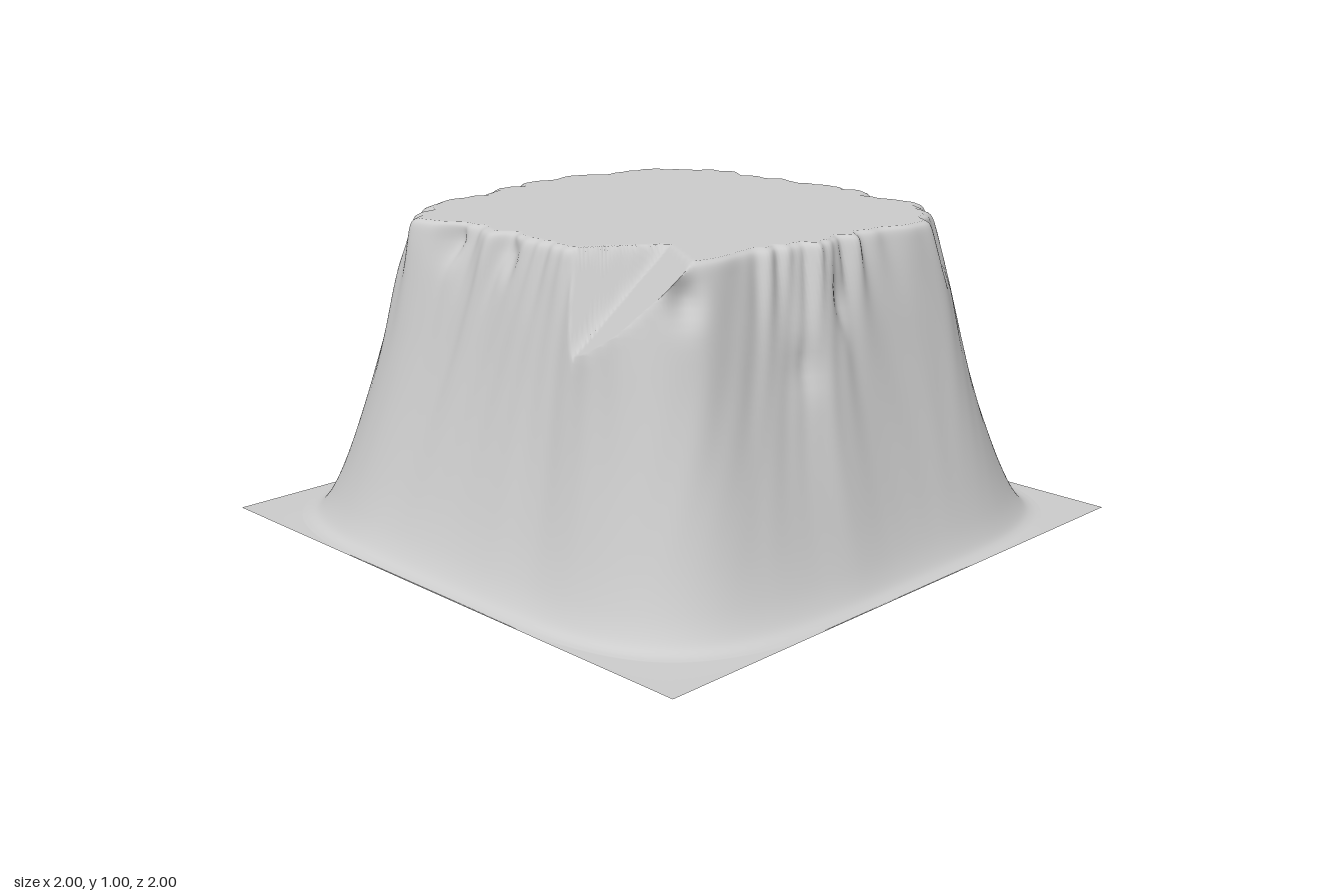
import * as THREE from 'three';

// Rim radius of the plateau every 10 degrees, from +x towards +z
const RIM = [
  0.65, 0.67, 0.68, 0.69, 0.76, 0.78, 0.80, 0.735, 0.68, 0.67, 0.69, 0.67,
  0.73, 0.83, 0.84, 0.79, 0.68, 0.65, 0.63, 0.64, 0.67, 0.77, 0.78, 0.75,
  0.69, 0.645, 0.67, 0.67, 0.69, 0.70, 0.72, 0.77, 0.77, 0.74, 0.68, 0.65];

// Cliff profile: [height, how far out from rim (0) to foot (1)]
const PROFILE = [[1, 0], [0.985, 0.07], [0.94, 0.12], [0.8, 0.23], [0.6, 0.37], [0.4, 0.53],
  [0.2, 0.72], [0.1, 0.84], [0.05, 0.92], [0.02, 0.99], [0.006, 1.06], [0, 1.14]];

// Weathered hollows: [degrees, height, angular width, height spread, depth]
const GOUGES = [
  [94, 0.82, 2, 0.08, 0.025], [106, 0.66, 4, 0.06, 0.015], [57, 0.92, 3, 0.08, 0.04],
  [27, 0.96, 3, 0.05, 0.04], [336, 0.95, 3, 0.06, 0.03], [2, 0.93, 2.5, 0.07, 0.03],
  [133, 0.9, 3, 0.06, 0.04], [180, 0.95, 3, 0.06, 0.03], [201, 0.95, 3, 0.06, 0.04],
  [221, 0.94, 3, 0.08, 0.05], [264, 0.96, 2.5, 0.06, 0.04], [241, 0.9, 3, 0.1, 0.03],
  [318, 0.7, 5, 0.25, 0.03], [45, 0.65, 4, 0.25, 0.03], [300, 0.8, 4, 0.15, 0.025]];

// Periodic smooth interpolation of the rim table
function rimRadius(deg) {
  const n = RIM.length, u = deg / 10, i = Math.floor(u), t = u - i;
  const [a, b, c, d] = [-1, 0, 1, 2].map(k => RIM[(i + k + n) % n]);
  return b + 0.5 * t * (c - a + t * (2 * a - 5 * b + 4 * c - d + t * (3 * (b - c) + d - a)));
}

// Rounded-square foot of the cliff
function footRadius(a) {
  return 0.965 / (Math.abs(Math.cos(a)) ** 4.2 + Math.abs(Math.sin(a)) ** 4.2) ** (1 / 4.2);
}

// Irregular vertical flutes, strongest at the rim and fading downwards
function flutes(a, y) {
  const w = a + 0.05 * Math.sin(4 * y + 5 * a);
  const strength = 0.6 * y * y + 0.6 * THREE.MathUtils.smoothstep(y, 0.75, 1);
  return strength * (0.008 * Math.sin(19 * w + 2 * Math.sin(4 * a))
    + 0.006 * Math.sin(37 * w + 3 * Math.sin(3 * a + 1))
    + 0.004 * Math.sin(61 * w + 2 * Math.sin(7 * a) + 9 * y));
}

function gougeDepth(deg, y) {
  let sum = 0;
  for (const [g, h, w, spread, depth] of GOUGES) {
    const da = ((deg - g + 540) % 360 - 180) / w, dy = (y - h) / spread;
    sum += depth * Math.exp(-da * da - dy * dy);
  }
  return sum;
}

// Height of the gully and its sloping ledge in the front corner at -x
function gullyHeight(x, z) {
  const dx = x + 0.43, dz = z - 0.42, c = -0.97, s = -0.22;
  const along = dx * c + dz * s;
  const across = dz * -c + dx * s;
  return 1 - 0.9 * along + (across > 0 ? 0.3 : 2.4) * Math.abs(across);
}

// Finely spaced rows along the cliff profile
function cliffRows() {
  const curve = new THREE.CatmullRomCurve3(
    PROFILE.map(([y, f]) => new THREE.Vector3(f, y, 0)), false, 'centripetal');
  return curve.getPoints(66).map(p => [Math.max(0, Math.min(1, p.y)), p.x]);
}

function terrainGeometry() {
  const N = 480;
  const top = [0];
  for (let k = 0; k < 40; k++) top.push(0.5 + k * 0.0125);
  const cliff = cliffRows();
  const rows = top.length + cliff.length + 1;
  const pos = [], index = [];
  for (let r = 0; r < rows; r++) {
    for (let i = 0; i < N; i++) {
      const deg = i * 360 / N, a = deg * Math.PI / 180;
      const c = Math.cos(a), s = Math.sin(a);
      const square = 1 / Math.max(Math.abs(c), Math.abs(s));
      const rim = rimRadius(deg);
      let radius, y = 1;
      if (r < top.length) {
        // flat plateau
        radius = top[r] * (rim + flutes(a, 1) - gougeDepth(deg, 1));
      } else if (r < rows - 1) {
        // cliff wall flaring into the ground
        const [h, f] = cliff[r - top.length];
        y = h;
        radius = rim + (footRadius(a) - rim) * f + flutes(a, y) - gougeDepth(deg, y);
        radius = Math.min(radius, square * 0.998);
      } else {
        // square border on the ground
        radius = square;
        y = 0;
      }
      const x = radius * c, z = radius * s;
      if (y > 0.4) y = Math.min(y, gullyHeight(x, z));
      pos.push(x, y, z);
      if (r < rows - 1) {
        const j = (i + 1) % N, p = r * N, q = p + N;
        if (r > 0) index.push(p + i, p + j, q + i);
        index.push(p + j, q + j, q + i);
      }
    }
  }
  const geo = new THREE.BufferGeometry();
  geo.setAttribute('position', new THREE.Float32BufferAttribute(pos, 3));
  geo.setIndex(index);
  geo.computeVertexNormals();
  return geo;
}

export function createModel() {
  const group = new THREE.Group();
  group.name = 'plateau';
  const material = new THREE.MeshStandardMaterial({ color: 0xcccccc, side: THREE.DoubleSide });
  const terrain = new THREE.Mesh(terrainGeometry(), material);
  terrain.name = 'cliffTerrain';
  group.add(terrain);
  return group;
}
